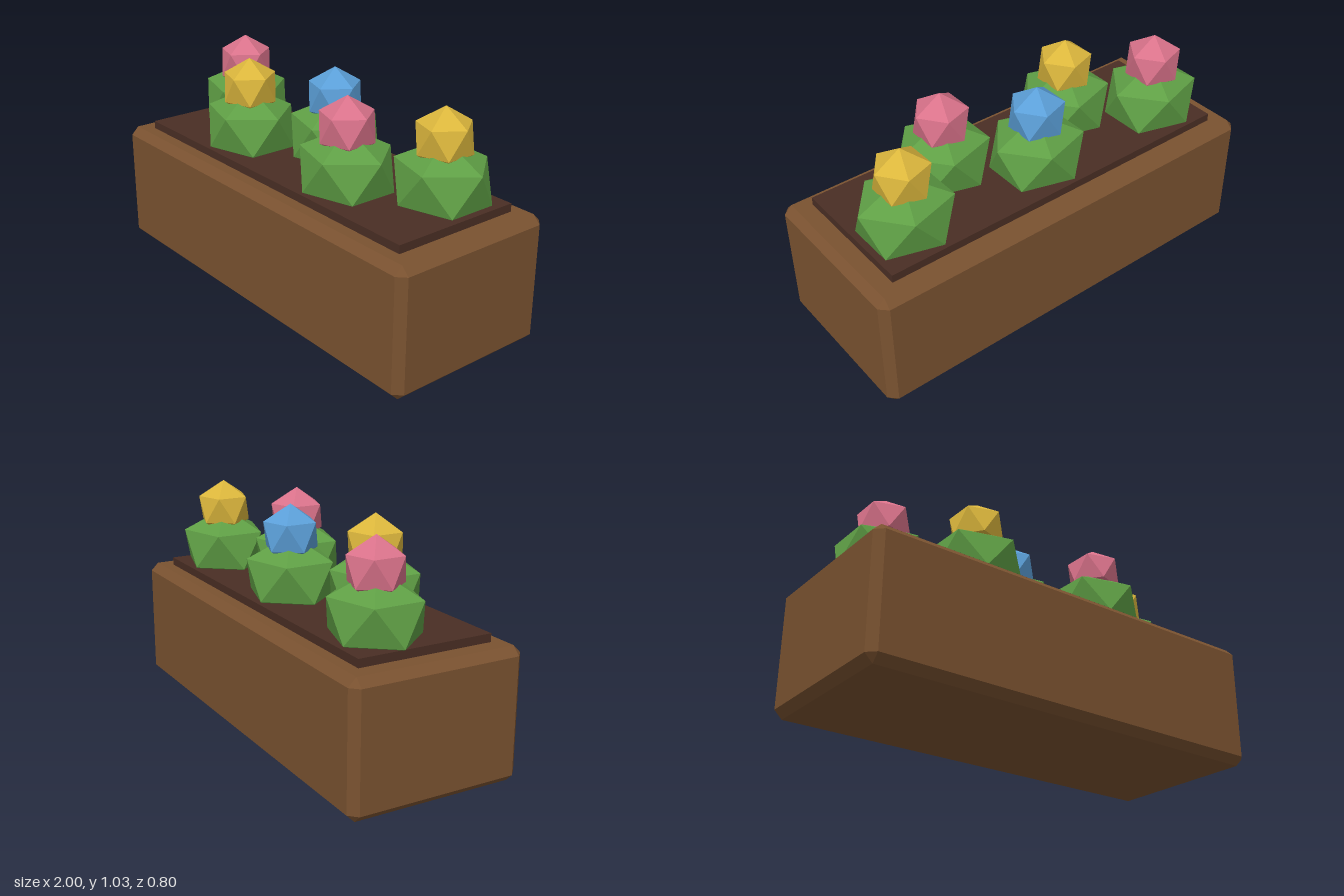
import * as THREE from 'three';
import { ConvexGeometry } from 'three/addons/geometries/ConvexGeometry.js';

const mat = (name, color) => {
  const m = new THREE.MeshStandardMaterial({ color });
  m.name = name;
  return m;
};

// Box with flat chamfered edges and triangular corners
function chamferedBox(w, h, d, c) {
  const points = [];
  for (const sx of [-1, 1]) for (const sy of [-1, 1]) for (const sz of [-1, 1]) {
    const x = w / 2, y = h / 2, z = d / 2;
    points.push(
      new THREE.Vector3(sx * x, sy * (y - c), sz * (z - c)),
      new THREE.Vector3(sx * (x - c), sy * y, sz * (z - c)),
      new THREE.Vector3(sx * (x - c), sy * (y - c), sz * z)
    );
  }
  return new ConvexGeometry(points);
}

// Faceted ball standing on one vertex
function facetedBall(radius) {
  const g = new THREE.IcosahedronGeometry(radius, 0);
  g.rotateZ(-Math.atan(2 / (1 + Math.sqrt(5))));
  return g;
}

export function createModel() {
  const model = new THREE.Group();
  model.name = 'flowerPlanter';

  const wood = mat('wood', 0x7a5230);
  const soilBrown = mat('soil', 0x4a2e24);
  const leafGreen = mat('leafGreen', 0x5f9f45);
  const pink = mat('pink', 0xd9728a);
  const yellow = mat('yellow', 0xdbb63c);
  const blue = mat('blue', 0x5b9fd8);

  const add = (parent, name, geometry, material, x, y, z) => {
    const mesh = new THREE.Mesh(geometry, material);
    mesh.name = name;
    mesh.position.set(x, y, z);
    parent.add(mesh);
    return mesh;
  };

  // Trough and the soil slab rising just above its rim
  add(model, 'trough', chamferedBox(2, 0.583, 0.8, 0.036), wood, 0, 0.2915, 0);
  add(model, 'soil', new THREE.BoxGeometry(1.78, 0.12, 0.62), soilBrown, 0, 0.56, 0);

  // Zigzag row of plants: a squashed bush with a blossom on top
  const bushGeometry = facetedBall(0.2175);
  const blossomGeometry = facetedBall(0.136);
  [pink, yellow, blue, pink, yellow].forEach((colour, i) => {
    const plant = new THREE.Group();
    plant.name = `plant${i + 1}`;
    plant.position.set((i - 2) * 0.345, 0, i % 2 ? 0.11 : -0.11);
    add(plant, 'bush', bushGeometry, leafGreen, 0, 0.707, 0).scale.set(1.1, 0.85, 1);
    add(plant, 'blossom', blossomGeometry, colour, 0, 0.894, 0);
    model.add(plant);
  });

  return model;
}
